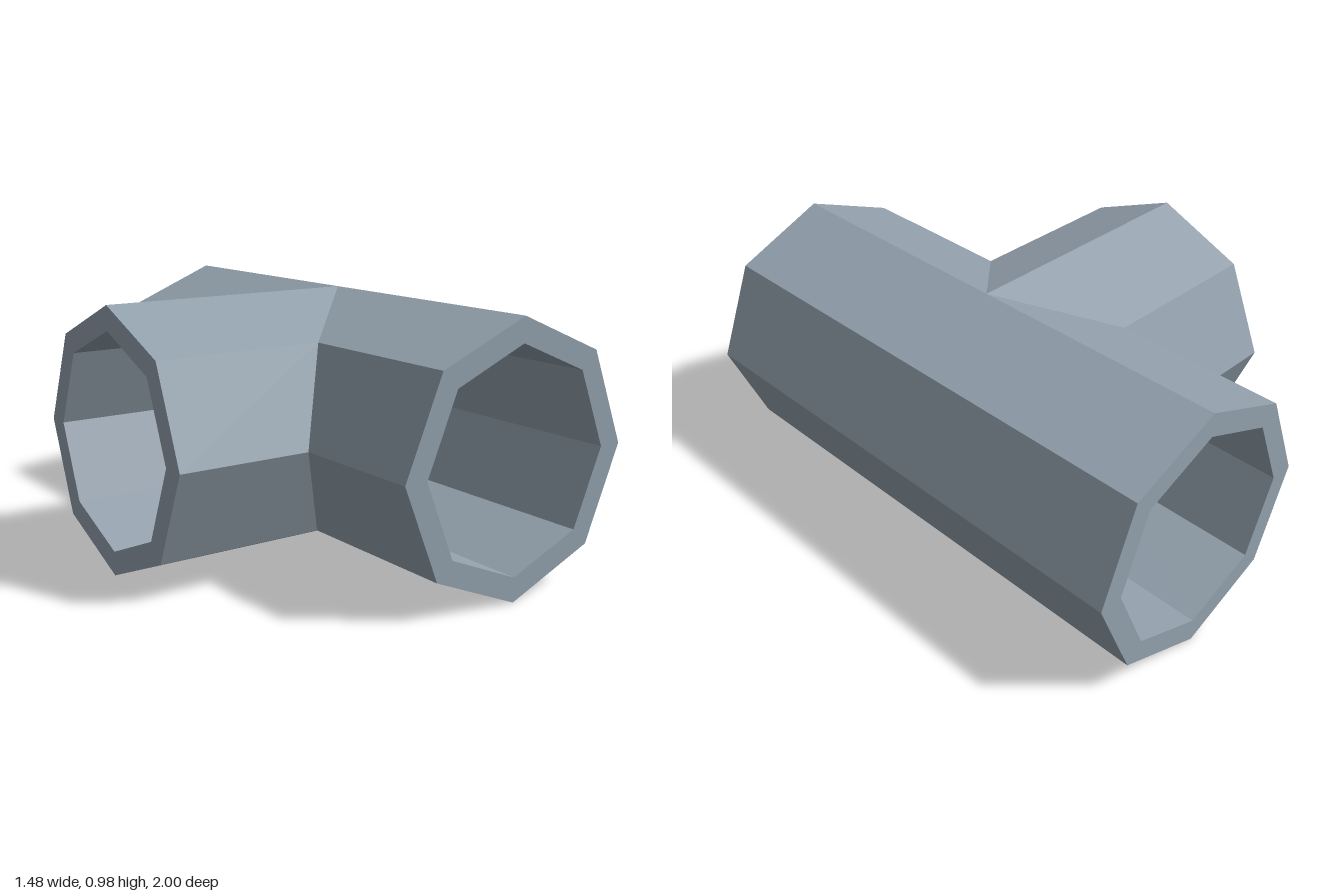
import * as THREE from 'three';

const CX = 0.252, CY = 0.49;      // axis of the main pipe
const OUTER = 0.49, INNER = 0.4;  // octagon radii
const HALF = 1, BRANCH_END = -0.742;
const SIDES = 8;

// Flat shaded geometry from quads given counter-clockwise
function quadGeometry(quads, inward) {
  const pos = [];
  for (const [a, b, c, d] of quads) {
    const tris = inward ? [a, c, b, a, d, c] : [a, b, c, a, c, d];
    tris.forEach((p) => pos.push(...p));
  }
  const g = new THREE.BufferGeometry();
  g.setAttribute('position', new THREE.Float32BufferAttribute(pos, 3));
  g.computeVertexNormals();
  return g;
}

// Cosine and sine of an octagon corner, scaled by radius
function corner(k, r) {
  const a = (k * Math.PI * 2) / SIDES;
  return [r * Math.cos(a), r * Math.sin(a)];
}

// Main pipe wall along z, cut by the mitre on the branch side
function mainWall(r) {
  const quads = [];
  for (let k = -2; k < 6; k++) {
    const [c0, s0] = corner(k, r), [c1, s1] = corner(k + 1, r);
    const p = (c, s, z) => [CX + c, CY + s, z];
    const strip = (f0, f1, b0, b1) =>
      quads.push([p(c0, s0, f0), p(c0, s0, b0), p(c1, s1, b1), p(c1, s1, f1)]);
    if (k < 2) {
      strip(HALF, HALF, -HALF, -HALF);
    } else {
      strip(HALF, HALF, Math.abs(c0), Math.abs(c1));
      strip(-Math.abs(c0), -Math.abs(c1), -HALF, -HALF);
    }
  }
  return quads;
}

// Branch wall along x, running from its open end to the mitre
function branchWall(r) {
  const quads = [];
  for (let k = 0; k < SIDES; k++) {
    const [c0, s0] = corner(k, r), [c1, s1] = corner(k + 1, r);
    quads.push([
      [BRANCH_END, CY + s0, c0], [CX - Math.abs(c0), CY + s0, c0],
      [CX - Math.abs(c1), CY + s1, c1], [BRANCH_END, CY + s1, c1],
    ]);
  }
  return quads;
}

export function createModel() {
  const group = new THREE.Group();
  group.name = 'teePipe';
  const steel = new THREE.MeshStandardMaterial({ color: 0x93a1ad });
  steel.name = 'blue grey steel';

  const add = (name, geometry) => {
    const mesh = new THREE.Mesh(geometry, steel);
    mesh.name = name;
    group.add(mesh);
    return mesh;
  };

  // Outer shell and open bore
  add('mainPipeOuter', quadGeometry(mainWall(OUTER), false));
  add('mainPipeBore', quadGeometry(mainWall(INNER), true));
  add('branchPipeOuter', quadGeometry(branchWall(OUTER), false));
  add('branchPipeBore', quadGeometry(branchWall(INNER), true));

  // Flat rims at the three openings
  const rims = [
    ['frontRim', CX, HALF, 0],
    ['backRim', CX, -HALF, Math.PI],
    ['branchRim', BRANCH_END, 0, -Math.PI / 2],
  ];
  for (const [name, x, z, turn] of rims) {
    const rim = add(name, new THREE.RingGeometry(INNER, OUTER, SIDES, 1));
    rim.position.set(x, CY, z);
    rim.rotation.y = turn;
  }
  return group;
}
